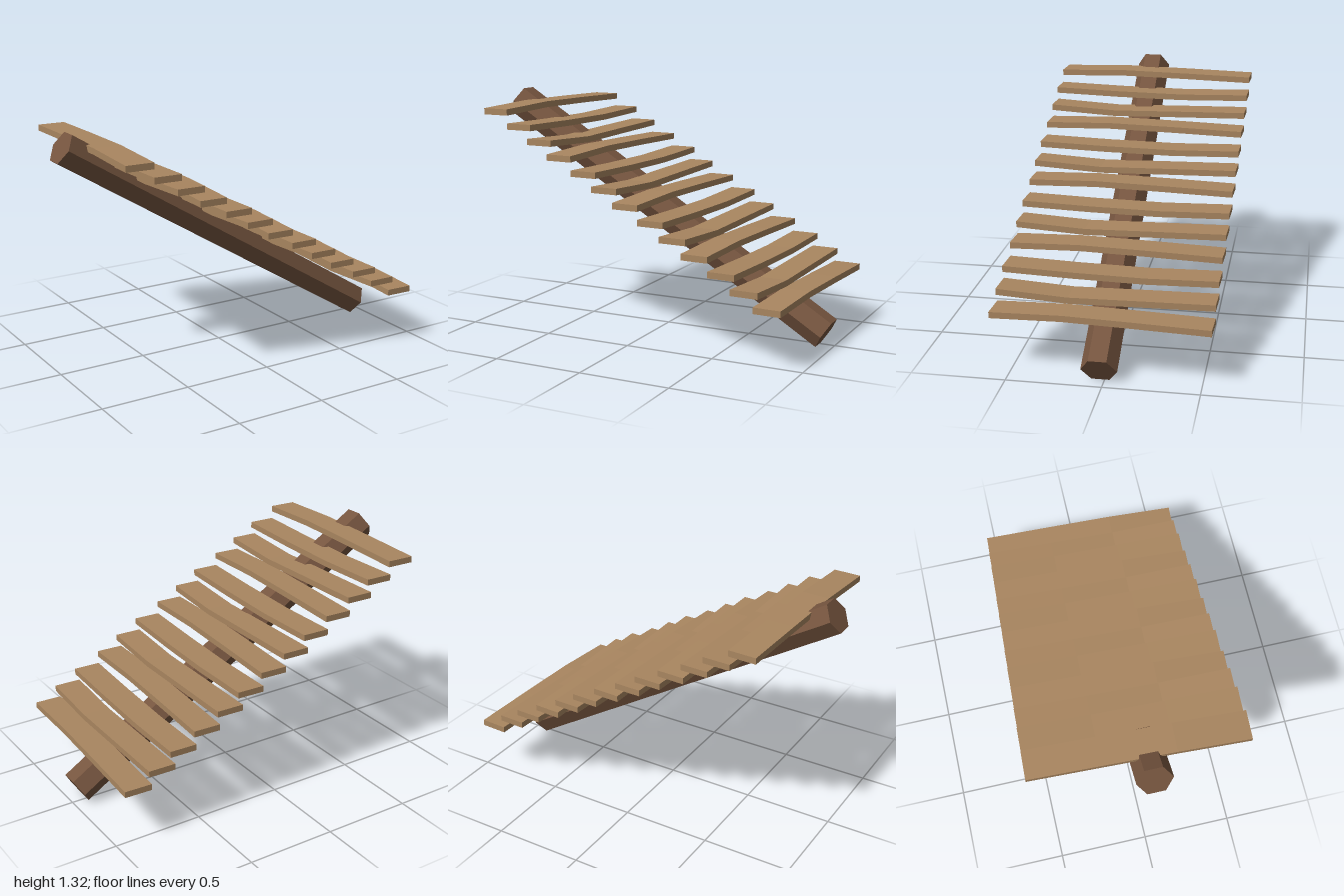
import * as THREE from 'three';

const PLANK = { width: 0.152, thickness: 0.034, length: 1.146, count: 13 };

// Three plank variants, repeated in turn: yaw shift, x offset, bend at the front and rear third
const VARIANTS = [
  { shift: 0.045, dx: 0, front: 0.013, rear: 0.008 },
  { shift: 0.035, dx: 0.011, front: -0.009, rear: -0.012 },
  { shift: 0.032, dx: 0.003, front: -0.019, rear: -0.009 },
];

// Gives every face its own normal
function faceted(geometry) {
  const flat = geometry.toNonIndexed();
  flat.computeVertexNormals();
  return flat;
}

// A board in three lengthwise segments, with its inner joints moved up or down
function plankGeometry({ front, rear }) {
  const g = new THREE.BoxGeometry(PLANK.width, PLANK.thickness, PLANK.length, 1, 1, 3);
  const p = g.attributes.position;
  for (let i = 0; i < p.count; i++) {
    const z = p.getZ(i);
    if (Math.abs(z) < PLANK.length / 4) p.setY(i, p.getY(i) + (z > 0 ? front : rear));
  }
  return faceted(g);
}

export function createModel() {
  const model = new THREE.Group();
  model.name = 'logStaircase';
  const darkWood = new THREE.MeshStandardMaterial({ color: 0x76553f });
  darkWood.name = 'dark wood';
  const lightWood = new THREE.MeshStandardMaterial({ color: 0xa98660 });
  lightWood.name = 'light wood';

  // Sloping six-sided log
  const top = new THREE.Vector3(-0.957, 1.255, 0.022);
  const bottom = new THREE.Vector3(0.957, 0.077, 0.022);
  const beam = new THREE.Mesh(
    faceted(new THREE.CylinderGeometry(0.095, 0.095, top.distanceTo(bottom), 6)), darkWood);
  beam.name = 'supportBeam';
  beam.position.addVectors(top, bottom).multiplyScalar(0.5);
  beam.rotation.z = Math.atan2(bottom.x - top.x, top.y - bottom.y);
  model.add(beam);

  // Treads stepping down along the log
  const geometries = VARIANTS.map(plankGeometry);
  for (let i = 0; i < PLANK.count; i++) {
    const k = i % VARIANTS.length;
    const t = i / (PLANK.count - 1);
    const tread = new THREE.Mesh(geometries[k], lightWood);
    tread.name = `tread${i + 1}`;
    tread.position.set(
      -0.76 + 1.621 * t + VARIANTS[k].dx,
      1.237 - 0.9145 * t,
      -0.024 + 0.048 * t);
    tread.rotation.y = -Math.atan(VARIANTS[k].shift / PLANK.length);
    model.add(tread);
  }
  return model;
}
